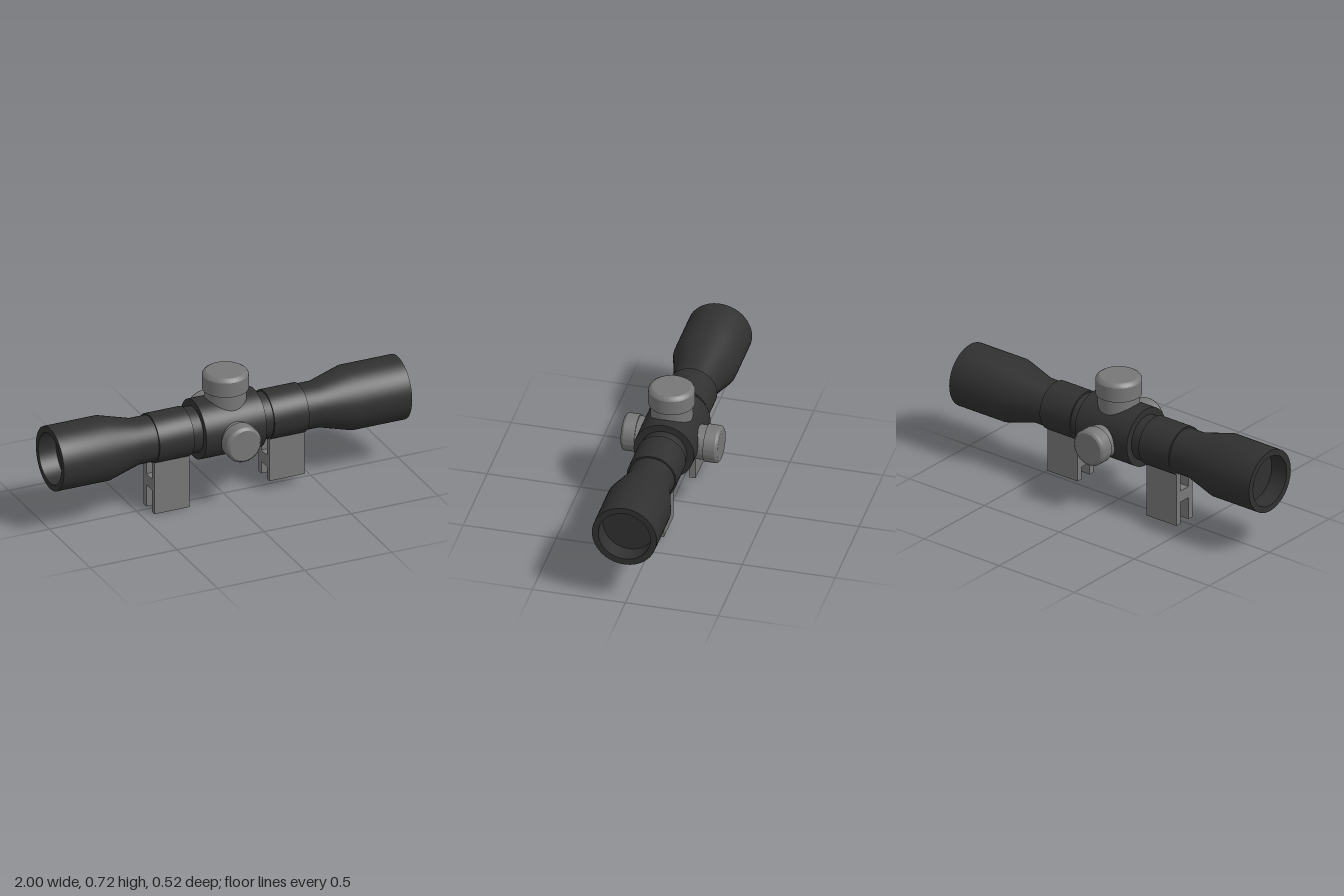
import * as THREE from 'three';
import { toCreasedNormals } from 'three/addons/utils/BufferGeometryUtils.js';

const AXIS_Y = 0.412, AXIS_Z = 0.006;

// Solid of revolution from [radius, height] pairs, with crisp edges
function turned(name, profile, material) {
  const points = profile.map(([r, h]) => new THREE.Vector2(r, h));
  const geometry = toCreasedNormals(new THREE.LatheGeometry(points, 64), 0.5);
  const mesh = new THREE.Mesh(geometry, material);
  mesh.name = name;
  return mesh;
}

// Narrow stem with a wider, bevelled cap on top
function turret(name, stemR, stemStart, capR, capStart, capEnd, bevel, material) {
  return turned(name, [
    [0, stemStart], [stemR, stemStart], [stemR, capStart], [capR, capStart],
    [capR, capEnd - bevel], [capR - bevel * 0.35, capEnd - bevel * 0.4],
    [capR - bevel, capEnd], [0, capEnd],
  ], material);
}

// H-shaped mount: two legs joined by a crossbar
function mount(name, x, bottom, material) {
  const group = new THREE.Group();
  group.name = name;
  const addBox = (part, y0, y1, z0, z1) => {
    const box = new THREE.Mesh(new THREE.BoxGeometry(0.2, y1 - y0, z1 - z0), material);
    box.position.set(x, (y0 + y1) / 2, (z0 + z1) / 2);
    box.name = part;
    group.add(box);
  };
  addBox('mountLeg', bottom, 0.31, 0.041, 0.073);
  addBox('mountLeg', bottom, 0.31, -0.061, -0.028);
  addBox('mountCrossbar', 0.125, 0.19, -0.028, 0.041);
  return group;
}

export function createModel() {
  const model = new THREE.Group();
  model.name = 'scope';
  const dark = new THREE.MeshStandardMaterial({ color: 0x303030 });
  const grey = new THREE.MeshStandardMaterial({ color: 0x777777 });

  // Everything turned around the long axis
  const barrel = new THREE.Group();
  barrel.name = 'barrel';
  barrel.rotation.z = -Math.PI / 2;
  barrel.position.set(0, AXIS_Y, AXIS_Z);
  model.add(barrel);

  // Main tube with flared ends and recessed lenses
  const half = [[0, -0.9], [0.14, -0.9], [0.14, -1], [0.174, -1], [0.174, -0.7], [0.124, -0.52]];
  const mirrored = half.map(([r, h]) => [r, -h]).reverse();
  barrel.add(turned('tube', [...half, ...mirrored], dark));

  // Thicker bands around the tube
  const band = (name, r, a, b) =>
    barrel.add(turned(name, [[0, a], [r, a], [r, b], [0, b]], dark));
  band('centreBody', 0.162, -0.175, 0.172);
  band('rightRing', 0.133, -0.43, -0.23);
  band('leftRing', 0.133, 0.23, 0.43);

  // Adjustment turrets
  const top = turret('topTurret', 0.111, 0.45, 0.122, 0.615, 0.717, 0.02, grey);
  top.position.set(0.008, 0, AXIS_Z);
  model.add(top);
  for (const side of [1, -1]) {
    const knob = turret(side > 0 ? 'frontTurret' : 'backTurret',
      0.092, 0.05, 0.1, 0.184, 0.261, 0.015, grey);
    knob.rotation.x = side * Math.PI / 2;
    knob.position.set(0.002, 0.391, 0);
    model.add(knob);
  }

  // Mounts under the rings
  model.add(mount('rightMount', -0.33, 0, grey));
  model.add(mount('leftMount', 0.33, 0.054, grey));
  return model;
}
